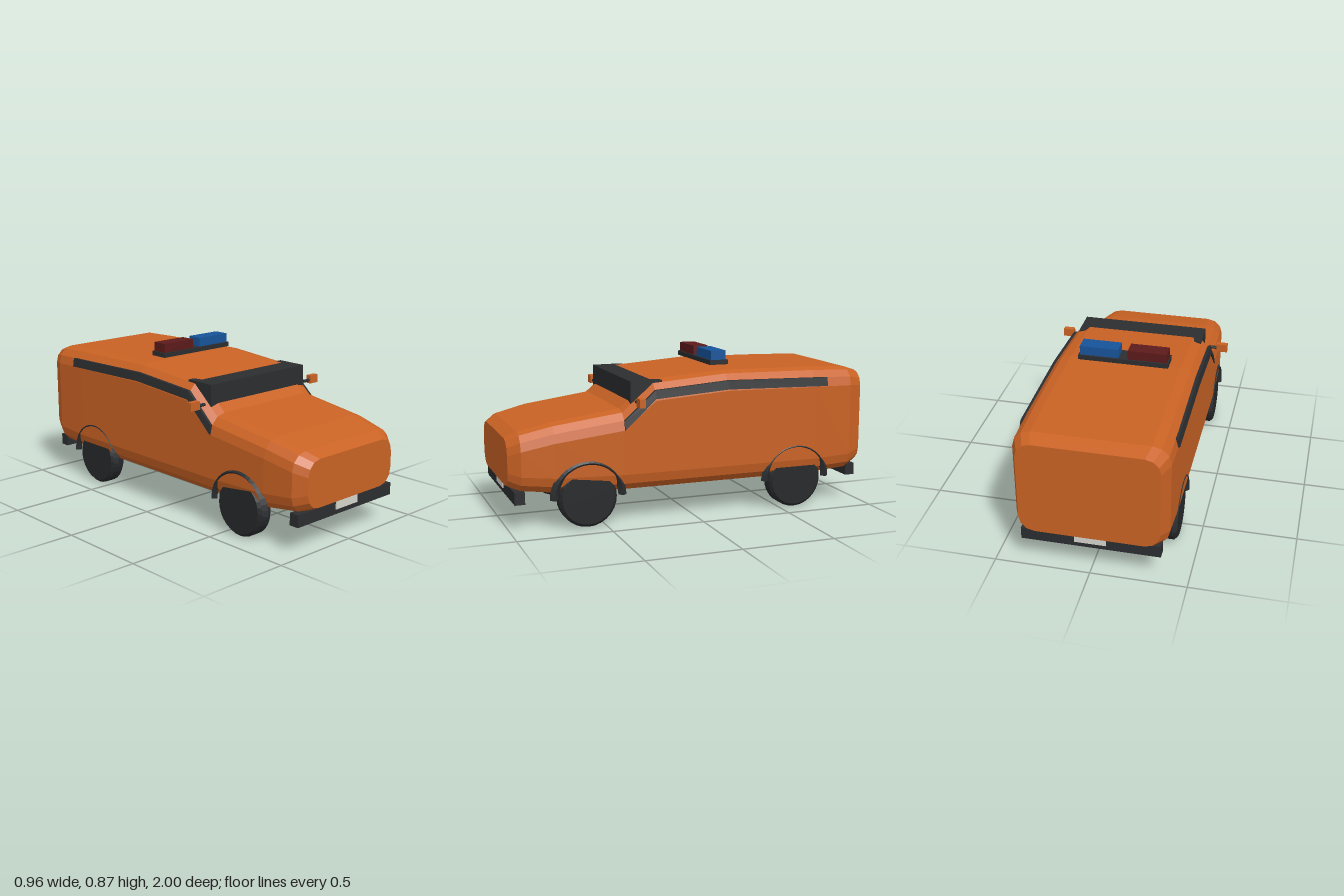
import * as THREE from 'three';

const paint = (color) => new THREE.MeshStandardMaterial({ color, flatShading: true, side: THREE.DoubleSide });
const ORANGE = paint(0xc96224), DARK = paint(0x2b2d30), TYRE = paint(0x26282a);
const RED = paint(0x5c1a1a), BLUE = paint(0x17549a), PLATE = paint(0xd6d4cc);

// Body stations from nose to tail: z, half width, bottom, top, corner radius
const STATIONS = [
  [1.0, 0.32, 0.225, 0.475, 0.08],
  [0.94, 0.37, 0.2, 0.51, 0.09],
  [0.77, 0.39, 0.18, 0.55, 0.095],
  [0.4, 0.4, 0.165, 0.6, 0.1],
  [0.23, 0.4, 0.165, 0.745, 0.1],
  [-0.18, 0.4, 0.165, 0.775, 0.1],
  [-0.7, 0.4, 0.165, 0.768, 0.1],
  [-0.92, 0.395, 0.18, 0.76, 0.095],
  [-1.0, 0.36, 0.22, 0.735, 0.08],
];

// Rounded-rectangle ring, counter-clockwise seen from +z
function ring([z, w, y0, y1, r]) {
  const points = [];
  const corners = [[w - r, y1 - r], [r - w, y1 - r], [r - w, y0 + r], [w - r, y0 + r]];
  corners.forEach(([cx, cy], q) => {
    for (let i = 0; i <= 3; i++) {
      const a = (q + i / 3) * Math.PI / 2;
      points.push([cx + r * Math.cos(a), cy + r * Math.sin(a), z]);
    }
  });
  return points;
}

function loftBody() {
  const rings = STATIONS.map(ring), n = rings[0].length, last = rings.length - 1;
  const index = [];
  for (let s = 0; s < last; s++) {
    for (let i = 0; i < n; i++) {
      const a = s * n + i, b = s * n + (i + 1) % n;
      index.push(a, a + n, b, b, a + n, b + n);
    }
  }
  // nose and tail caps
  for (let i = 1; i < n - 1; i++) {
    index.push(0, i, i + 1, last * n, last * n + i + 1, last * n + i);
  }
  const geometry = new THREE.BufferGeometry();
  geometry.setAttribute('position', new THREE.Float32BufferAttribute(rings.flat(2), 3));
  geometry.setIndex(index);
  geometry.computeVertexNormals();
  return geometry;
}

// Side window band: z, lower y, upper y; the top edge leans in with the body
function windowBand(side) {
  const profile = [[0.4, 0.5, 0.55], [0.23, 0.655, 0.7], [-0.18, 0.683, 0.73], [-0.77, 0.67, 0.718]];
  const positions = [], index = [];
  for (const [z, low, high] of profile) {
    positions.push(side * 0.38, low, z, side * 0.406, low, z, side * 0.398, high, z, side * 0.37, high, z);
  }
  for (let s = 0; s < 3; s++) {
    for (let i = 0; i < 4; i++) {
      const a = s * 4 + i, b = s * 4 + (i + 1) % 4;
      if (side > 0) index.push(a, a + 4, b, b, a + 4, b + 4);
      else index.push(a, b, a + 4, b, b + 4, a + 4);
    }
  }
  const caps = [0, 1, 2, 0, 2, 3, 12, 14, 13, 12, 15, 14];
  index.push(...(side > 0 ? caps : caps.reverse()));
  const geometry = new THREE.BufferGeometry();
  geometry.setAttribute('position', new THREE.Float32BufferAttribute(positions, 3));
  geometry.setIndex(index);
  geometry.computeVertexNormals();
  return geometry;
}

// Tyre with bevelled shoulders, axis along x
function wheelGeometry() {
  const profile = [[0, -0.045], [0.14, -0.045], [0.155, -0.03], [0.155, 0.03], [0.14, 0.045], [0, 0.045]];
  return new THREE.LatheGeometry(profile.map(([r, y]) => new THREE.Vector2(r, y)), 28).rotateZ(Math.PI / 2);
}

export function createModel() {
  const model = new THREE.Group();
  const add = (name, geometry, material, x = 0, y = 0, z = 0) => {
    const mesh = new THREE.Mesh(geometry, material);
    mesh.name = name;
    mesh.position.set(x, y, z);
    model.add(mesh);
    return mesh;
  };
  // box given by its extents on each axis
  const box = (name, material, [x0, x1], [y0, y1], [z0, z1]) =>
    add(name, new THREE.BoxGeometry(x1 - x0, y1 - y0, z1 - z0), material,
      (x0 + x1) / 2, (y0 + y1) / 2, (z0 + z1) / 2);

  add('body', loftBody(), ORANGE);
  box('windscreen', DARK, [-0.35, 0.35], [0.62, 0.745], [0.18, 0.352]);

  // Roof light bar
  box('lightBarBase', DARK, [-0.243, 0.243], [0.795, 0.82], [-0.24, -0.135]);
  box('leftLight', BLUE, [0.025, 0.235], [0.82, 0.87], [-0.23, -0.145]);
  box('rightLight', RED, [-0.235, -0.025], [0.82, 0.87], [-0.23, -0.145]);

  // Bumpers and number plates
  for (const [end, s] of [['front', 1], ['rear', -1]]) {
    box(end + 'Bumper', DARK, [-0.36, 0.36], [0.145, 0.21], s > 0 ? [0.922, 0.976] : [-0.976, -0.922]);
    box(end + 'Plate', PLATE, [-0.082, 0.082], [0.172, 0.215], s > 0 ? [0.968, 0.982] : [-0.982, -0.968]);
  }

  const wheel = wheelGeometry();
  const arch = new THREE.TorusGeometry(0.183, 0.022, 4, 20, Math.PI).rotateY(Math.PI / 2);
  for (const [side, s] of [['left', 1], ['right', -1]]) {
    add(side + 'WindowBand', windowBand(s), DARK);
    // Wheels and wheel arches
    for (const [end, z] of [['Front', 0.595], ['Rear', -0.59]]) {
      add(side + end + 'Wheel', wheel, TYRE, s * 0.345, 0.155, z);
      add(side + end + 'Arch', arch, DARK, s * 0.382, 0.16, z);
    }
    // Door mirror on its arm
    const arm = new THREE.CylinderGeometry(0.009, 0.009, 0.06, 8).rotateZ(Math.PI / 2);
    add(side + 'MirrorArm', arm, DARK, s * 0.405, 0.643, 0.33);
    add(side + 'Mirror', new THREE.BoxGeometry(0.06, 0.045, 0.03), ORANGE, s * 0.452, 0.648, 0.33);
  }
  return model;
}
